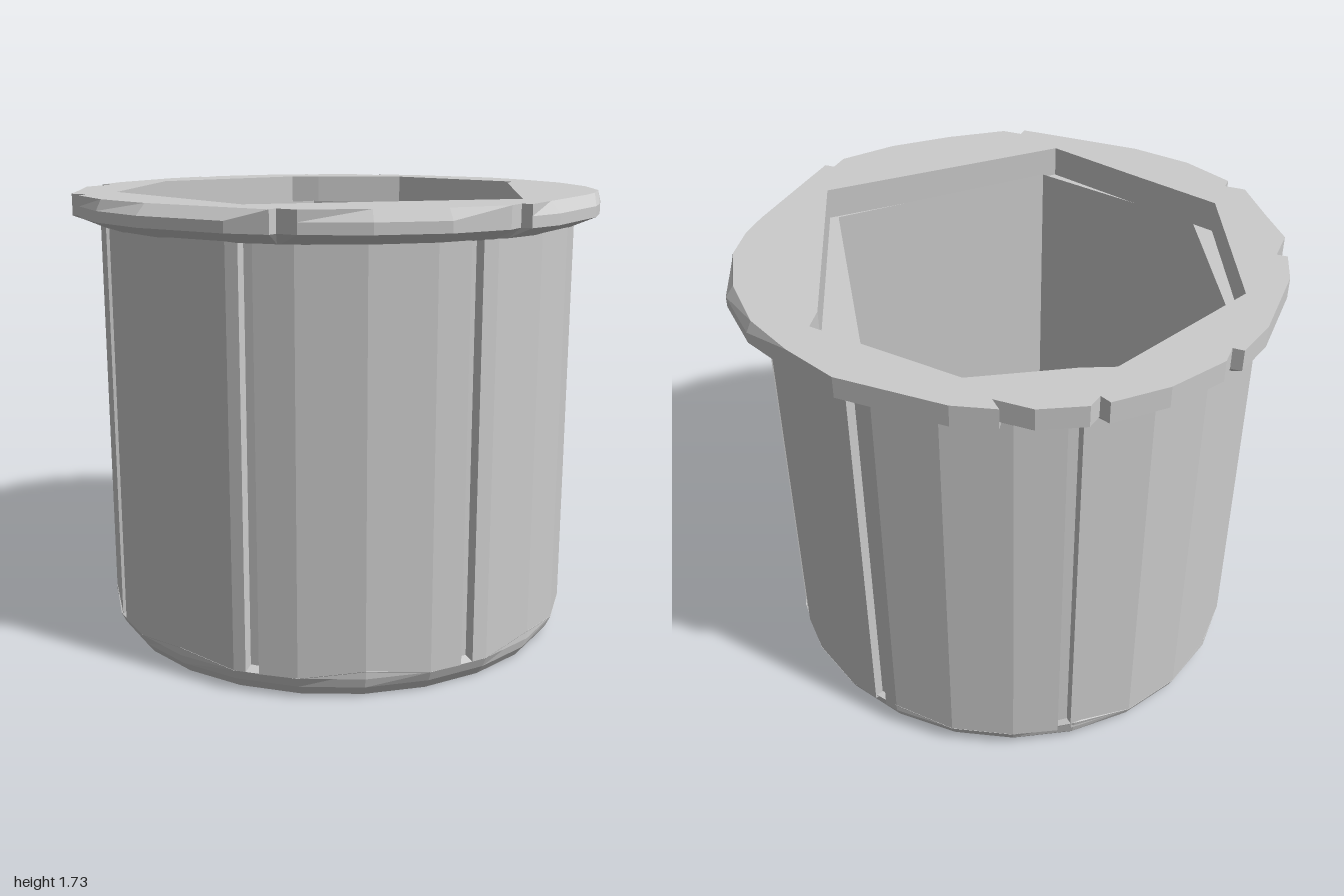
import * as THREE from 'three';

const material = new THREE.MeshStandardMaterial({ color: 0xcccccc, flatShading: true });

// Outer rim outline: x, z, inset of the chipped top edge
const RIM = [
  [1, -0.18, 0.04], [1, 0.18, 0.04], [0.96, 0.33, 0], [0.92, 0.33, 0], [0.92, 0.41, 0],
  [0.81, 0.62, 0.03], [0.62, 0.8, 0.03], [0.41, 0.92, 0], [0.33, 0.92, 0], [0.33, 0.96, 0],
  [0.18, 1, 0.04], [-0.18, 1, 0.04], [-0.42, 0.93, 0.02], [-0.61, 0.81, 0], [-0.61, 0.76, 0],
  [-0.69, 0.76, 0], [-0.83, 0.59, 0.02], [-0.92, 0.43, 0], [-0.92, 0.29, 0], [-0.96, 0.29, 0],
  [-1, 0.14, 0], [-1, -0.2, 0], [-0.96, -0.37, 0], [-0.92, -0.37, 0], [-0.92, -0.45, 0],
  [-0.8, -0.65, 0], [-0.65, -0.8, 0], [-0.61, -0.78, 0], [-0.6, -0.84, 0], [-0.45, -0.92, 0],
  [-0.31, -0.92, 0], [-0.35, -0.96, 0], [-0.2, -1, 0], [0.2, -1, 0], [0.41, -0.92, 0],
  [0.62, -0.83, 0.02], [0.81, -0.66, 0.03], [0.92, -0.45, 0.01], [0.97, -0.3, 0.02],
];
const LIP = [[-0.88, -0.02], [-0.61, -0.61], [-0.5, -0.66], [-0.18, -0.85], [0.41, -0.77],
  [0.43, -0.68], [0.84, 0.13], [0.14, 0.84], [-0.23, 0.72], [-0.61, 0.6]];
const CHAMBER = [[-0.83, 0], [-0.52, -0.65], [0.2, -0.79], [0.8, 0.13], [0.18, 0.8], [-0.52, 0.63]];
const GROOVES = [28, 78, 125, 235, 282.5, 320]; // degrees around the wall

const at = (pts, y) => pts.map(([x, z]) => [x, y, z]);
const polar = (deg, r) => {
  const a = THREE.MathUtils.degToRad(deg);
  return [Math.cos(a) * r, Math.sin(a) * r];
};

// Skin a stack of closed rings; bottom-up faces outward, top-down faces inward
function loft(rings) {
  const pos = [];
  for (let k = 0; k + 1 < rings.length; k++) {
    const lo = rings[k], hi = rings[k + 1], n = lo.length;
    for (let i = 0; i < n; i++) {
      const j = (i + 1) % n;
      pos.push(...lo[i], ...hi[i], ...lo[j], ...lo[j], ...hi[i], ...hi[j]);
    }
  }
  const g = new THREE.BufferGeometry();
  g.setAttribute('position', new THREE.Float32BufferAttribute(pos, 3));
  g.computeVertexNormals();
  return g;
}

// Flat horizontal plate with an optional hole, facing up (1) or down (-1)
function plate(outline, y, facing, hole) {
  const vecs = (pts) => pts.map(([x, z]) => new THREE.Vector2(x, -z * facing));
  const shape = new THREE.Shape(vecs(outline));
  if (hole) shape.holes.push(new THREE.Path(vecs(hole)));
  return new THREE.ShapeGeometry(shape).rotateX(-facing * Math.PI / 2).translate(0, y, 0);
}

export function createModel() {
  const group = new THREE.Group();
  const add = (name, geometry) => {
    const mesh = new THREE.Mesh(geometry, material);
    mesh.name = name;
    group.add(mesh);
  };

  // Faceted wall with narrow vertical grooves
  const wall = [];
  for (let i = 0; i < 24; i++) {
    const deg = i * 15 + 7.5;
    if (GROOVES.every((g) => Math.abs(g - deg) > 4)) wall.push([deg, 0.923]);
  }
  GROOVES.forEach((g) => wall.push([g - 1.6, 0.92], [g - 1.3, 0.885], [g + 1.3, 0.885], [g + 1.6, 0.92]));
  wall.sort((a, b) => a[0] - b[0]);
  const wallRing = wall.map(([deg, r]) => polar(deg, r));
  add('outerWall', loft([at(wallRing, 0.08), at(wallRing, 1.62)]));

  // Chamfered foot with a slightly uneven edge
  const ring = (r, y, wobble = 0) => Array.from({ length: 24 }, (_, i) => {
    const [x, z] = polar(i * 15 + 7.5, r);
    return [x, y + (i % 3 === 0 ? wobble : 0), z];
  });
  const foot = ring(0.875, 0);
  add('footChamfer', loft([foot, ring(0.905, 0.04), ring(0.924, 0.08, 0.03), ring(0.88, 0.1)]));
  add('base', plate(foot.map(([x, , z]) => [x, z]), 0, -1));

  // Notched rim: bevelled underside, upright edge, chipped top
  const top = RIM.map(([x, z, inset]) => {
    const s = 1 - inset / Math.hypot(x, z);
    return [x * s, z * s];
  });
  const under = RIM.map(([x, z]) => {
    const s = 0.92 / Math.hypot(x, z);
    return [x * s, z * s];
  });
  add('rimEdge', loft([at(under, 1.61), at(RIM, 1.65), at(RIM, 1.69), at(top, 1.73)]));
  add('rimTop', plate(top, 1.73, 1, LIP));
  const seat = ring(0.915, 0).map(([x, , z]) => [x, z]);
  add('rimUnderside', plate(seat, 1.62, -1, LIP));

  // Opening, ledge, six-sided chamber and its floor
  add('lipWall', loft([at(LIP, 1.73), at(LIP, 1.61)]));
  add('ledge', plate(seat, 1.61, 1, CHAMBER));
  add('chamberWall', loft([at(CHAMBER, 1.62), at(CHAMBER, 0.12)]));
  add('chamberFloor', plate(CHAMBER, 0.12, 1));

  return group;
}
